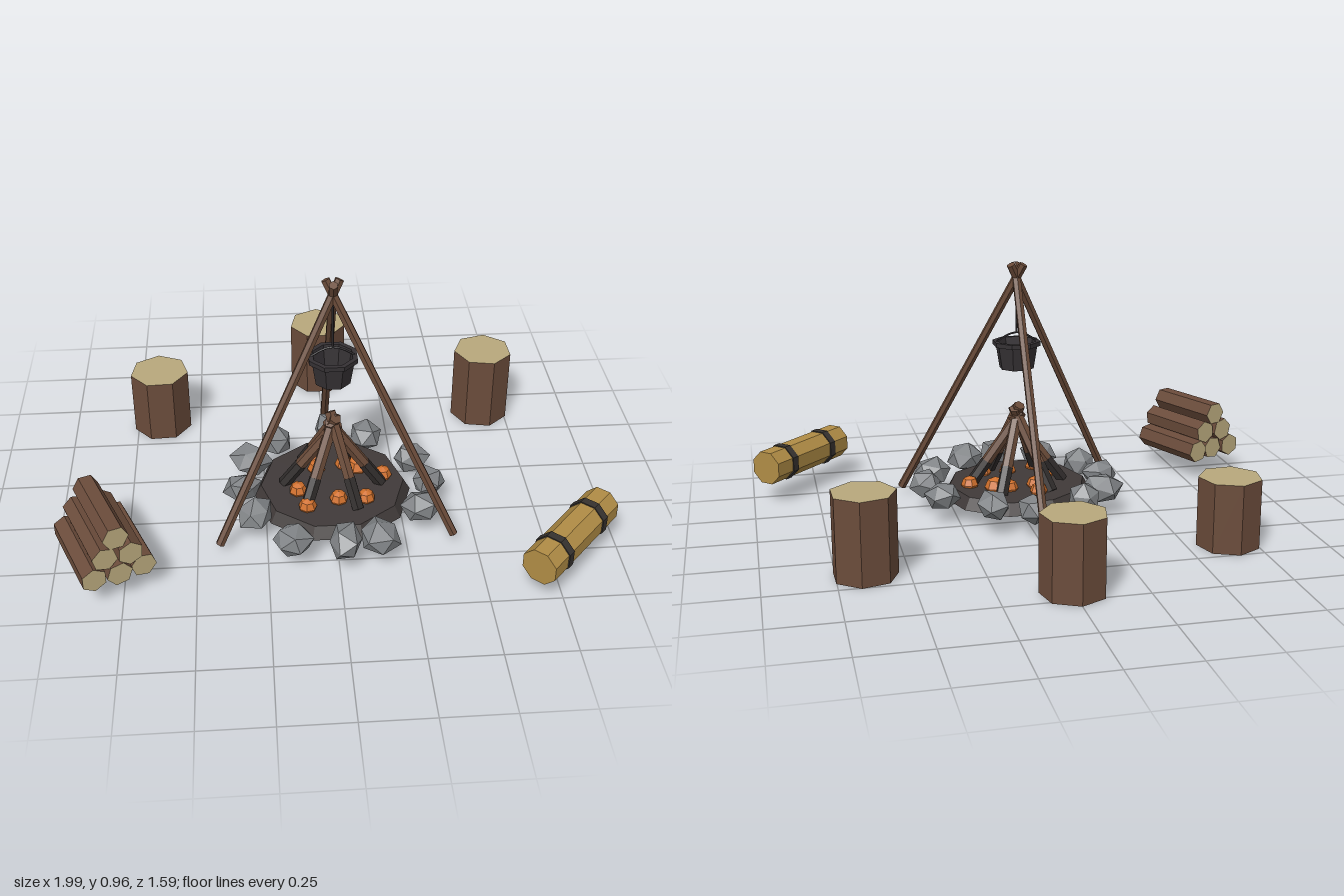
import * as THREE from 'three';
import { mergeVertices } from 'three/addons/utils/BufferGeometryUtils.js';

const mat = (name, color) => {
  const m = new THREE.MeshStandardMaterial({ color, flatShading: true });
  m.name = name;
  return m;
};
const V = (x, y, z) => new THREE.Vector3(x, y, z);

// small seeded generator
let seed = 7;
const rnd = () => {
  seed = (seed * 16807) % 2147483647;
  return seed / 2147483647;
};

export function createModel() {
  const bark = mat('bark', 0x6b4c3b);
  const cutWood = mat('cutWood', 0xb8a87c);
  const poleWood = mat('poleWood', 0x694a38);
  const char = mat('charredWood', 0x2f2b2a);
  const ash = mat('ash', 0x403a39);
  const iron = mat('iron', 0x353134);
  const stone = mat('stone', 0x808386);
  const ember = mat('ember', 0xd0702c);
  const canvas = mat('canvas', 0xb08c45);
  const strap = mat('strap', 0x36322f);

  const root = new THREE.Group();
  root.name = 'campsite';
  const group = (name, parent = root) => {
    const g = new THREE.Group();
    g.name = name;
    parent.add(g);
    return g;
  };
  const add = (parent, name, geo, material) => {
    const m = new THREE.Mesh(geo, material);
    m.name = name;
    parent.add(m);
    return m;
  };
  // straight rod between two points
  const beam = (parent, name, a, b, r, sides, material) => {
    const d = b.clone().sub(a);
    const m = add(parent, name, new THREE.CylinderGeometry(r, r, d.length(), sides), material);
    m.position.copy(a).lerp(b, 0.5);
    m.quaternion.setFromUnitVectors(V(0, 1, 0), d.normalize());
    return m;
  };

  // everything around the fire shares this centre
  const fire = group('firePit');
  fire.position.z = 0.18;

  // ash bed
  const bed = add(fire, 'ashBed', new THREE.CylinderGeometry(0.265, 0.29, 0.045, 10, 1, false, Math.PI / 10), ash);
  bed.position.y = 0.08;

  // ring of stones: x, z, half width, half depth
  const ring = [
    [0.01, -0.34, 0.055, 0.072], [0.15, -0.28, 0.06, 0.07], [0.31, -0.13, 0.068, 0.055],
    [0.355, 0.02, 0.066, 0.062], [0.31, 0.17, 0.074, 0.062], [0.14, 0.325, 0.074, 0.085],
    [0.02, 0.34, 0.06, 0.09], [-0.16, 0.32, 0.072, 0.08], [-0.29, 0.17, 0.068, 0.07],
    [-0.335, 0.01, 0.07, 0.06], [-0.295, -0.16, 0.076, 0.064], [-0.2, -0.27, 0.062, 0.064],
  ];
  const rocks = group('stoneRing', fire);
  for (const [x, z, w, d] of ring) {
    let geo = new THREE.IcosahedronGeometry(1, 0);
    geo.deleteAttribute('uv');
    geo.deleteAttribute('normal');
    geo = mergeVertices(geo);
    geo.rotateY(rnd() * 6).rotateX(rnd() * 6);
    const p = geo.attributes.position;
    for (let i = 0; i < p.count; i++) {
      const k = 0.88 + rnd() * 0.3;
      p.setXYZ(i, p.getX(i) * k * w, p.getY(i) * k * 0.055, p.getZ(i) * k * d);
    }
    geo.computeVertexNormals();
    add(rocks, 'stone', geo, stone).position.set(x, 0.107, z);
  }

  // glowing embers
  const embers = group('embers', fire);
  const spots = [
    [-0.05, -0.16], [-0.055, -0.08], [0.1, -0.08], [0.19, -0.025], [-0.13, 0.05],
    [-0.1, 0.145], [0.015, 0.11], [0.115, 0.11], [0.05, -0.1],
  ];
  spots.forEach(([x, z], i) => {
    const r = i === 2 ? 0.042 : 0.034;
    const e = add(embers, 'ember', new THREE.SphereGeometry(r, 7, 4), ember);
    e.position.set(x, 0.11, z);
    e.rotation.y = i;
  });

  // leaning sticks with charred feet
  const sticks = group('fireSticks', fire);
  [[0.06, 0.38], [1.1, 0.41], [2.2, 0.4], [3.2, 0.37], [4.1, 0.4], [5.25, 0.385]].forEach(([a, h]) => {
    const foot = V(Math.cos(a) * 0.18, 0.1, Math.sin(a) * 0.18);
    const top = V(-Math.cos(a) * 0.018, h, -Math.sin(a) * 0.018);
    const mid = foot.clone().lerp(top, 0.32);
    beam(sticks, 'charredEnd', foot, mid, 0.0235, 6, char);
    beam(sticks, 'stick', mid, top, 0.022, 6, poleWood);
  });

  // tripod
  const tripod = group('tripod', fire);
  for (let i = 0; i < 3; i++) {
    const a = Math.PI + (i * Math.PI * 2) / 3;
    const dir = V(Math.sin(a), 0, Math.cos(a));
    const foot = dir.clone().multiplyScalar(0.485).setY(0.032);
    const top = dir.clone().multiplyScalar(-0.028).setY(0.951);
    beam(tripod, 'tripodPole', foot, top, 0.0165, 6, poleWood);
  }

  // hanging pot
  const pot = group('cookingPot', fire);
  const profile = [
    [0, 0.555], [0.066, 0.555], [0.08, 0.643], [0.092, 0.643], [0.092, 0.66],
    [0.074, 0.66], [0.06, 0.57], [0, 0.57],
  ].map(([r, y]) => new THREE.Vector2(r, y));
  add(pot, 'potBody', new THREE.LatheGeometry(profile, 8, Math.PI / 8), iron);
  const bail = [V(-0.08, 0.655, 0), V(-0.035, 0.683, 0), V(0, 0.692, 0), V(0.035, 0.683, 0), V(0.08, 0.655, 0)];
  add(pot, 'potHandle', new THREE.TubeGeometry(new THREE.CatmullRomCurve3(bail), 8, 0.004, 5), iron);
  beam(pot, 'hangingLine', V(0, 0.69, 0), V(0, 0.91, 0), 0.004, 5, iron);

  // stump seats: x, z, height, turn
  for (const [x, z, h, turn] of [
    [0, -0.688, 0.278, Math.PI], [-0.652, -0.392, 0.257, Math.PI + 0.05], [0.65, -0.392, 0.3, Math.PI - 0.19],
  ]) {
    const s = add(root, 'stumpSeat', new THREE.CylinderGeometry(0.115, 0.115, h, 7), [bark, cutWood, cutWood]);
    s.position.set(x, h / 2, z);
    s.rotation.y = turn;
  }

  // stacked firewood
  const pile = group('woodpile');
  pile.position.set(-0.815, 0, 0.507);
  pile.rotation.y = 0.4;
  for (let row = 0; row < 3; row++) {
    for (let i = 0; i < 3 - row; i++) {
      const geo = new THREE.CylinderGeometry(0.046, 0.046, 0.32, 6);
      geo.rotateY(row * 1.3 + i * 0.7).rotateX(Math.PI / 2);
      const log = add(pile, 'log', geo, [bark, cutWood, cutWood]);
      log.position.set((i - (2 - row) / 2) * 0.088, 0.122 + row * 0.074, (i % 2) * 0.008 - 0.004);
    }
  }

  // rolled bedding with two straps
  const roll = group('bedroll');
  roll.position.set(0.802, 0.143, 0.588);
  roll.rotation.y = Math.atan2(0.294, -0.321);
  const tube = (name, r, len, z, m) => {
    const geo = new THREE.CylinderGeometry(r, r, len, 8, 1, false, Math.PI / 8).rotateX(Math.PI / 2);
    add(roll, name, geo, m).position.z = z;
  };
  tube('bedrollBody', 0.068, 0.435, 0, canvas);
  for (const s of [-1, 1]) tube('bedrollStrap', 0.0725, 0.03, s * 0.117, strap);

  return root;
}
